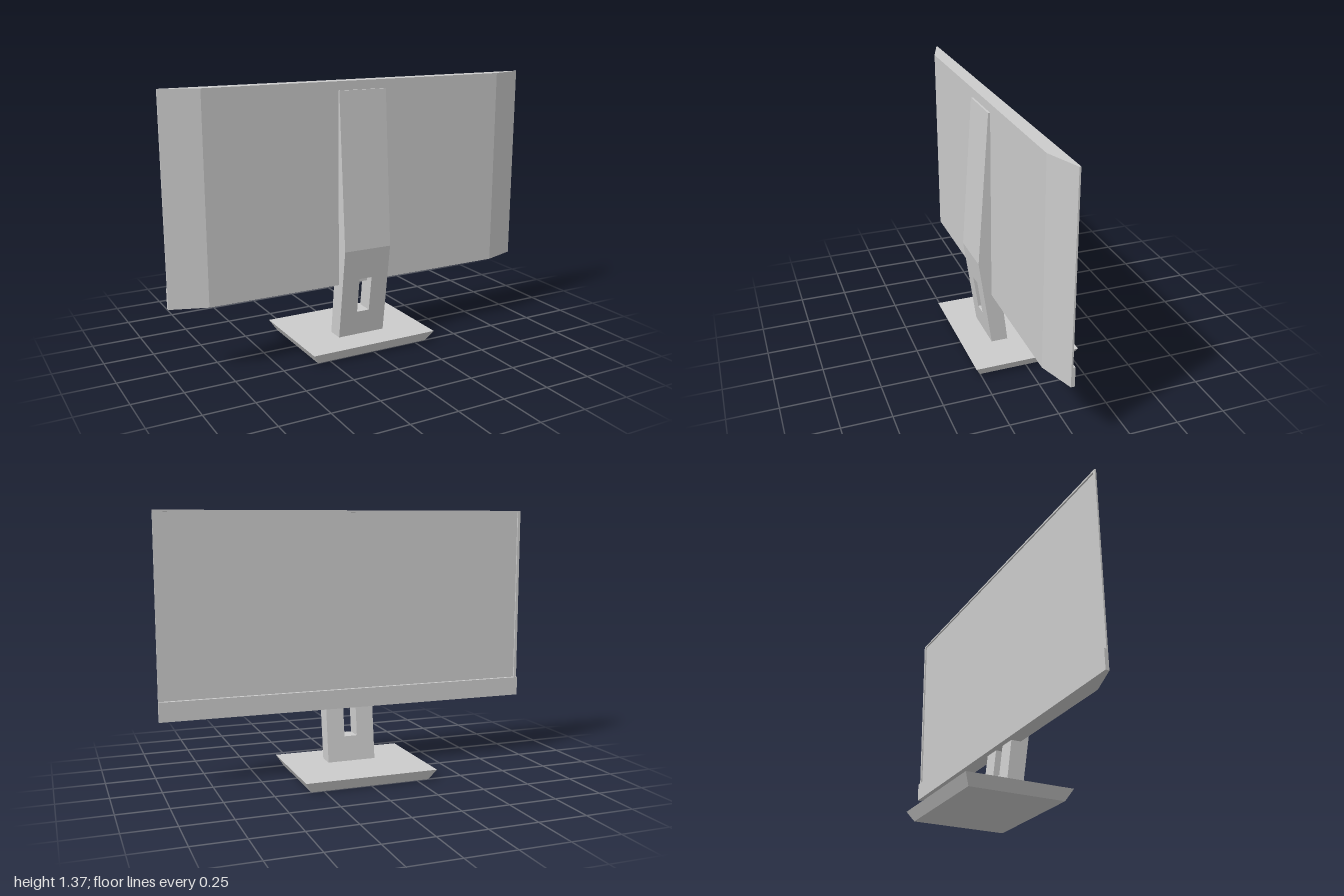
import * as THREE from 'three';

const material = new THREE.MeshStandardMaterial({ color: 0xcccccc, flatShading: true });

function addPart(parent, name, geometry) {
  const mesh = new THREE.Mesh(geometry, material);
  mesh.name = name;
  parent.add(mesh);
  return mesh;
}

function tracePath(path, points) {
  points.forEach(([x, y], i) => (i ? path.lineTo(x, y) : path.moveTo(x, y)));
  path.closePath();
  return path;
}

function rectangle(path, x0, x1, y0, y1) {
  return tracePath(path, [[x0, y0], [x1, y0], [x1, y1], [x0, y1]]);
}

function extrude(shape, depth) {
  return new THREE.ExtrudeGeometry(shape, { depth, bevelEnabled: false });
}

// A column section whose front and back depths run linearly from bottom to top.
function columnSection(y0, y1, back, front, hole) {
  const shape = rectangle(new THREE.Shape(), -0.13, 0.13, y0, y1);
  if (hole) shape.holes.push(hole);
  const geometry = extrude(shape, 1);
  const p = geometry.attributes.position;
  for (let i = 0; i < p.count; i++) {
    const t = (p.getY(i) - y0) / (y1 - y0);
    const zBack = THREE.MathUtils.lerp(back[0], back[1], t);
    const zFront = THREE.MathUtils.lerp(front[0], front[1], t);
    p.setZ(i, THREE.MathUtils.lerp(zBack, zFront, p.getZ(i)));
  }
  geometry.computeVertexNormals();
  return geometry;
}

// Plate that narrows towards its underside.
function basePlate() {
  const geometry = new THREE.BoxGeometry(0.7, 0.055, 0.56).translate(0, 0.0275, 0);
  const p = geometry.attributes.position;
  for (let i = 0; i < p.count; i++) {
    if (p.getY(i) < 0.01) {
      p.setX(i, Math.sign(p.getX(i)) * 0.315);
      p.setZ(i, Math.sign(p.getZ(i)) * 0.25);
    }
  }
  geometry.computeVertexNormals();
  return geometry;
}

export function createModel() {
  const model = new THREE.Group();
  model.name = 'monitor';

  // Stand: plate, leaning neck with a cable slot, tapering spine
  const stand = new THREE.Group();
  stand.name = 'stand';
  model.add(stand);
  addPart(stand, 'base', basePlate());
  const slot = rectangle(new THREE.Path(), -0.035, 0.035, 0.185, 0.37);
  addPart(stand, 'neck', columnSection(0.05, 0.53, [0.034, 0.093], [0.122, 0.19], slot));
  addPart(stand, 'spine', columnSection(0.53, 1.325, [0.093, 0.1], [0.19, 0.132]));

  // Display: housing with slanted ends, raised bezel and chin round the screen
  const display = new THREE.Group();
  display.name = 'display';
  model.add(display);
  const bottom = 0.34, top = 1.37;
  const plan = tracePath(new THREE.Shape(), [[-1, -0.06], [-0.82, -0.122], [0.82, -0.122], [1, -0.06]]);
  addPart(display, 'housing', extrude(plan, top - bottom).rotateX(-Math.PI / 2).translate(0, bottom, 0));

  const frame = rectangle(new THREE.Shape(), -1, 1, bottom, top);
  frame.holes.push(rectangle(new THREE.Path(), -0.985, 0.985, 0.44, 1.36));
  addPart(display, 'bezel', extrude(frame, 0.008).translate(0, 0, 0.052));
  addPart(display, 'chin', new THREE.BoxGeometry(2, 0.1, 0.012).translate(0, 0.39, 0.047));

  return model;
}
